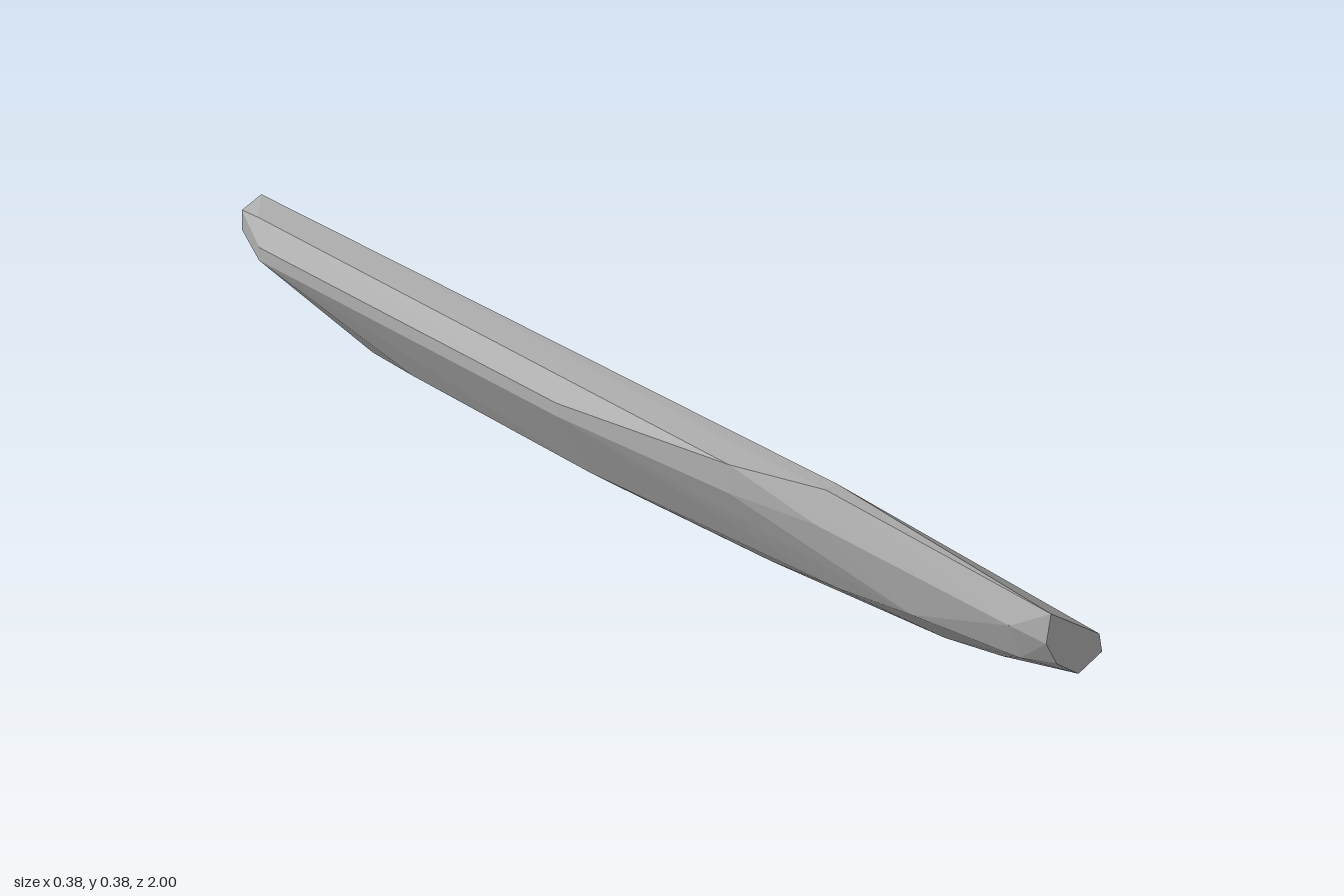
import * as THREE from 'three';
import { ConvexGeometry } from 'three/addons/geometries/ConvexGeometry.js';

// Cross-sections from the back to the front: [z, [x, y], ...]
const sections = [
  [-1, [-0.15, 0.365], [-0.09, 0.37], [0.11, 0.1], [0.105, 0.07], [-0.15, 0.315], [0.03, 0.1]],
  [-0.95, [-0.157, 0.375], [0.12, 0.06], [0.1, 0.04], [-0.157, 0.275], [-0.02, 0.1]],
  [-0.92, [-0.19, 0.333], [-0.19, 0.3]],
  [-0.76, [0.127, 0.03], [0.1, 0], [0.045, 0], [-0.025, 0.05]],
  [-0.6, [-0.09, 0.11]],
  [-0.13, [-0.19, 0.333], [-0.19, 0.3], [-0.09, 0.1], [-0.025, 0.035]],
  [0.3, [-0.157, 0.373], [-0.157, 0.3], [-0.025, 0.05], [0.043, 0]],
  [0.5, [-0.055, 0.365], [-0.09, 0.37], [-0.122, 0.3], [-0.055, 0.1]],
  [0.7, [0.187, 0.025], [0.045, 0.015], [-0.057, 0.133]],
  [0.84, [0.187, 0.027], [0.143, 0], [0.06, 0.03]],
  [0.93, [-0.022, 0.2], [0.01, 0.1]],
  [1, [0.025, 0.238], [0.175, 0.1], [0.183, 0.05], [0.11, 0.036], [0.043, 0.1], [0.01, 0.17]],
];

export function createModel() {
  const group = new THREE.Group();
  group.name = 'facetedSlab';
  const stone = new THREE.MeshStandardMaterial({ color: 0xb0b0b0 });
  stone.name = 'stone grey';
  stone.flatShading = true;

  // Leaning slab: flat facets stretched over the cross-sections
  const points = sections.flatMap(([z, ...ring]) => ring.map(([x, y]) => new THREE.Vector3(x, y, z)));
  const slab = new THREE.Mesh(new ConvexGeometry(points), stone);
  slab.name = 'slab';
  group.add(slab);
  return group;
}
